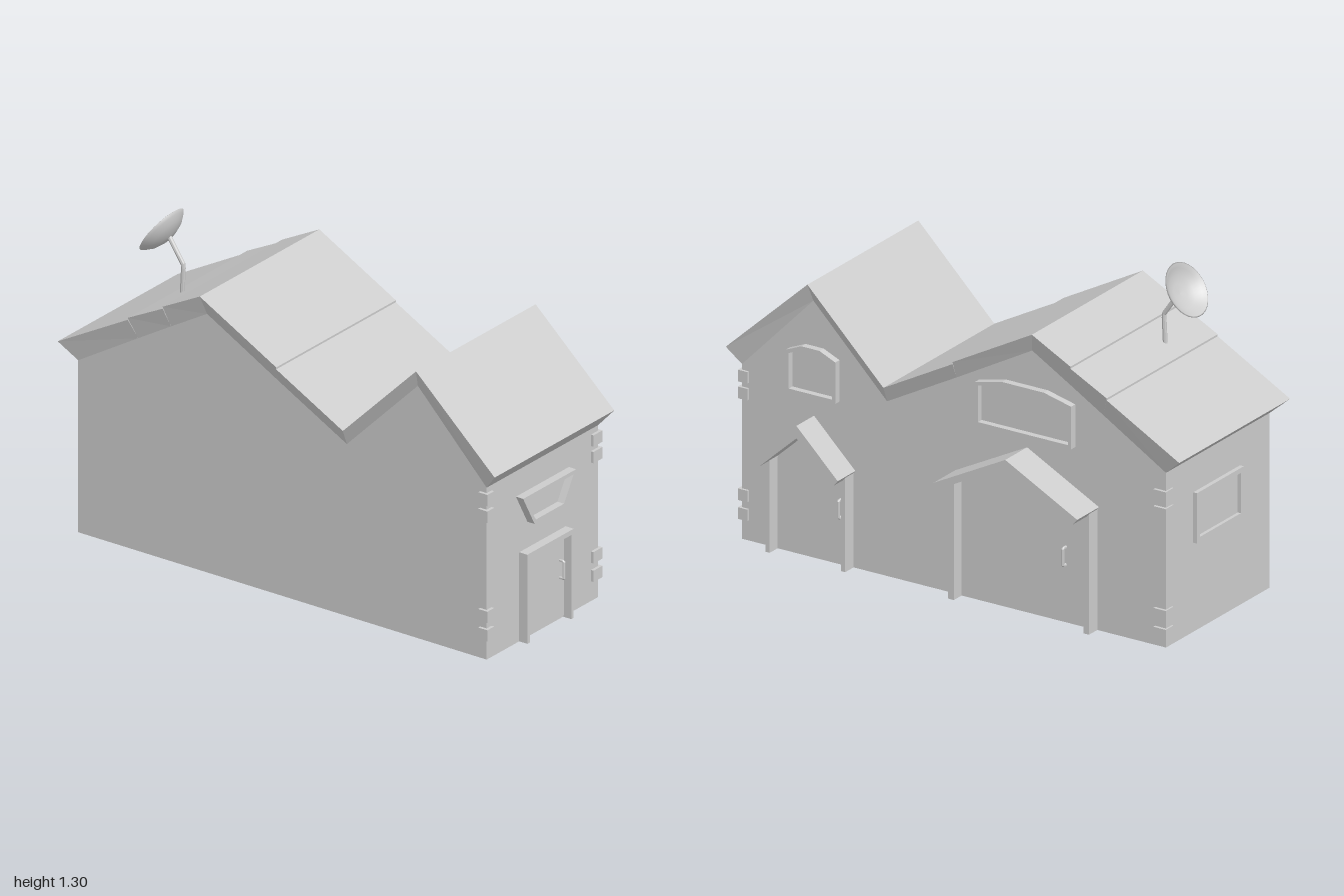
import * as THREE from 'three';

const mat = new THREE.MeshStandardMaterial({ color: 0xcccccc, flatShading: true, side: THREE.DoubleSide });
const smooth = new THREE.MeshStandardMaterial({ color: 0xcccccc, side: THREE.DoubleSide });
const XL = -0.405, XR = 0.28, ZF = 0.945, ZB = -0.925;

const shapeOf = pts => new THREE.Shape(pts.map(p => new THREE.Vector2(...p)));

function add(parent, name, geo, material = mat) {
  const m = new THREE.Mesh(geo, material);
  m.name = name;
  parent.add(m);
  return m;
}

// box given by its minimum and maximum corners
function box(parent, name, x0, x1, y0, y1, z0, z1) {
  const m = add(parent, name, new THREE.BoxGeometry(x1 - x0, y1 - y0, z1 - z0));
  m.position.set((x0 + x1) / 2, (y0 + y1) / 2, (z0 + z1) / 2);
  return m;
}

const extrude = (shape, depth) => new THREE.ExtrudeGeometry(shape, { depth, bevelEnabled: false });

// outline with a matching hole, inset by t, standing out from a wall at local z = 0
function windowFrame(parent, name, pts, t, depth) {
  const xs = pts.map(p => p[0]), ys = pts.map(p => p[1]);
  const x0 = Math.min(...xs), x1 = Math.max(...xs), y0 = Math.min(...ys), y1 = Math.max(...ys);
  const cx = (x0 + x1) / 2, cy = (y0 + y1) / 2;
  const sx = 1 - 2 * t / (x1 - x0), sy = 1 - 2 * t / (y1 - y0);
  const inner = pts.map(([x, y]) => [cx + (x - cx) * sx, cy + (y - cy) * sy]);
  const s = shapeOf(pts);
  s.holes.push(shapeOf(inner));
  add(parent, name, extrude(s, depth));
  add(parent, name + 'Pane', extrude(shapeOf(inner), 0.003));
}

// upright pull handle on a wall at local z = 0
function handle(parent, name, x, y0, y1) {
  const path = new THREE.CurvePath();
  const p = [[y0, 0], [y0, 0.022], [y1, 0.022], [y1, 0]].map(([y, z]) => new THREE.Vector3(x, y, z));
  for (let i = 0; i < 3; i++) path.add(new THREE.LineCurve3(p[i], p[i + 1]));
  add(parent, name, new THREE.TubeGeometry(path, 24, 0.006, 6));
}

// roof cross-section rows: top z, top y, underside z, underside y
const roofRows = [
  [1, 0.76, ZF, 0.695], [0.64, 1.09, 0.63, 1.02], [0.305, 0.757, 0.305, 0.695],
  [0, 0.922, 0, 0.86], [0, 0.93, 0, 0.86], [-0.35, 1.12, -0.335, 1.045],
  [-0.52, 1.032, -0.5, 0.949], [-0.52, 1.024, -0.5, 0.949],
  [-0.68, 0.943, -0.65, 0.86], [-0.68, 0.935, -0.65, 0.86], [-1, 0.76, ZB, 0.695],
];

function roofGeometry() {
  const pos = [];
  const quad = (a, b, c, d) => pos.push(...a, ...b, ...c, ...a, ...c, ...d);
  const rings = roofRows.map(([zt, yt, zb, yb]) =>
    [[-0.43, yt, zt], [0.305, yt, zt], [XR, yb, zb], [XL, yb, zb]]);
  for (let i = 0; i < rings.length - 1; i++) {
    const a = rings[i], b = rings[i + 1];
    for (let j = 0; j < 4; j++) {
      const k = (j + 1) % 4;
      quad(a[j], a[k], b[k], b[j]);
    }
  }
  const f = rings[0], l = rings[rings.length - 1];
  quad(f[3], f[2], f[1], f[0]);
  quad(l[0], l[1], l[2], l[3]);
  const g = new THREE.BufferGeometry();
  g.setAttribute('position', new THREE.Float32BufferAttribute(pos, 3));
  g.computeVertexNormals();
  return g;
}

export function createModel() {
  const house = new THREE.Group();
  house.name = 'house';

  // wall groups: local z points out of the wall
  const wall = (name, x, z, ry) => {
    const g = new THREE.Group();
    g.name = name;
    g.position.set(x, 0, z);
    g.rotation.y = ry;
    house.add(g);
    return g;
  };
  const front = wall('frontSide', 0, ZF, 0);
  const back = wall('backSide', 0, ZB, Math.PI);
  const side = wall('doorSide', XR, 0, Math.PI / 2);    // local x = -z
  const plain = wall('plainSide', XL, 0, -Math.PI / 2); // local x = +z

  // open-bottomed wall shell
  const gable = s => shapeOf([[s * ZF, 0], ...roofRows.map(r => [s * r[2], r[3]]), [s * ZB, 0]]);
  add(side, 'gableWall', new THREE.ShapeGeometry(gable(-1)));
  add(plain, 'gableWall', new THREE.ShapeGeometry(gable(1)));
  for (const [g, s] of [[front, 1], [back, -1]]) {
    const w = add(g, 'endWall', new THREE.PlaneGeometry(XR - XL, 0.695));
    w.position.set(s * (XL + XR) / 2, 0.3475, 0);
  }
  add(house, 'roof', roofGeometry());

  // corner stones
  for (const y of [0.08, 0.155, 0.56, 0.627]) {
    box(house, 'cornerStone', 0.235, 0.29, y, y + 0.046, 0.915, 0.957);
    box(house, 'cornerStone', -0.417, -0.375, y, y + 0.046, 0.915, 0.957);
    box(house, 'cornerStone', 0.24, 0.292, y - 0.05, y - 0.004, -0.932, -0.877);
  }

  // front door and window
  box(front, 'frontDoorJamb', -0.205, -0.19, 0, 0.36, -0.02, 0.037);
  box(front, 'frontDoorJamb', 0.065, 0.08, 0, 0.36, -0.02, 0.037);
  box(front, 'frontDoorLintel', -0.19, 0.065, 0.34, 0.36, -0.02, 0.037);
  box(front, 'frontDoor', -0.19, 0.065, 0.006, 0.34, -0.01, 0.003);
  handle(front, 'frontDoorHandle', 0.04, 0.168, 0.238);
  windowFrame(front, 'frontWindow', [[-0.155, 0.465], [0.035, 0.465], [0.1, 0.592], [-0.225, 0.592]], 0.015, 0.033);

  // back window
  windowFrame(back, 'backWindow', [[-0.1, 0.355], [0.21, 0.355], [0.21, 0.555], [-0.1, 0.555]], 0.02, 0.017);

  // arched side windows
  const arched = (x0, x1, y0, y1, y2, cut) =>
    [[x0, y0], [x1, y0], [x1, y1], [x1 - cut, y2], [x0 + cut, y2], [x0, y1]];
  windowFrame(side, 'smallSideWindow', arched(-0.735, -0.515, 0.645, 0.81, 0.84, 0.07), 0.014, 0.028);
  windowFrame(side, 'largeSideWindow', arched(0.1, 0.525, 0.705, 0.875, 0.903, 0.12), 0.014, 0.028);

  // side doors with porch roofs on posts
  const porches = [
    { name: 'smallPorch', x0: -0.81, x1: -0.445, eave: 0.385, peak: 0.563, drop: 0.05, post: 0.018, out: 0.117, grip: [-0.505, 0.19, 0.26] },
    { name: 'largePorch', x0: -0.005, x1: 0.63, eave: 0.49, peak: 0.655, drop: 0.03, post: 0.025, out: 0.145, grip: [0.485, 0.23, 0.3] },
  ];
  for (const p of porches) {
    const mid = (p.x0 + p.x1) / 2, e = 0.018, low = p.eave - 0.022;
    const roof = add(side, p.name + 'Roof', extrude(shapeOf([
      [p.x0, p.eave], [p.x0 + e, low], [mid, p.peak - p.drop], [p.x1 - e, low], [p.x1, p.eave], [mid, p.peak],
    ]), p.out + 0.03));
    roof.position.z = -0.03;
    const a = p.x0 + 0.006, b = p.x1 - 0.008;
    box(side, p.name + 'Post', a, a + p.post, 0, p.eave - 0.008, -0.07, 0.055);
    box(side, p.name + 'Post', b - p.post, b, 0, p.eave - 0.008, -0.07, 0.055);
    const l = a + p.post, r = b - p.post;
    add(side, p.name + 'Door', extrude(shapeOf([
      [l, 0], [r, 0], [r, low], [mid, p.peak - p.drop], [l, low],
    ]), 0.003));
    handle(side, p.name + 'DoorHandle', ...p.grip);
  }

  // satellite dish on a bent pole
  const pole = new THREE.CurvePath();
  const bend = [[0.95, -0.61], [1.09, -0.603], [1.185, -0.668]].map(([y, z]) => new THREE.Vector3(-0.19, y, z));
  pole.add(new THREE.LineCurve3(bend[0], bend[1]));
  pole.add(new THREE.LineCurve3(bend[1], bend[2]));
  add(house, 'dishPole', new THREE.TubeGeometry(pole, 16, 0.009, 8));
  const bowl = [[0, -0.042], [0.04, -0.038], [0.075, -0.025], [0.098, -0.008], [0.109, 0.003],
    [0.104, 0.005], [0.09, -0.007], [0.065, -0.022], [0.035, -0.031], [0, -0.034]];
  const dish = add(house, 'dish', new THREE.LatheGeometry(bowl.map(p => new THREE.Vector2(...p)), 32), smooth);
  dish.position.set(-0.192, 1.206, -0.7);
  dish.rotation.x = -0.98;

  return house;
}
